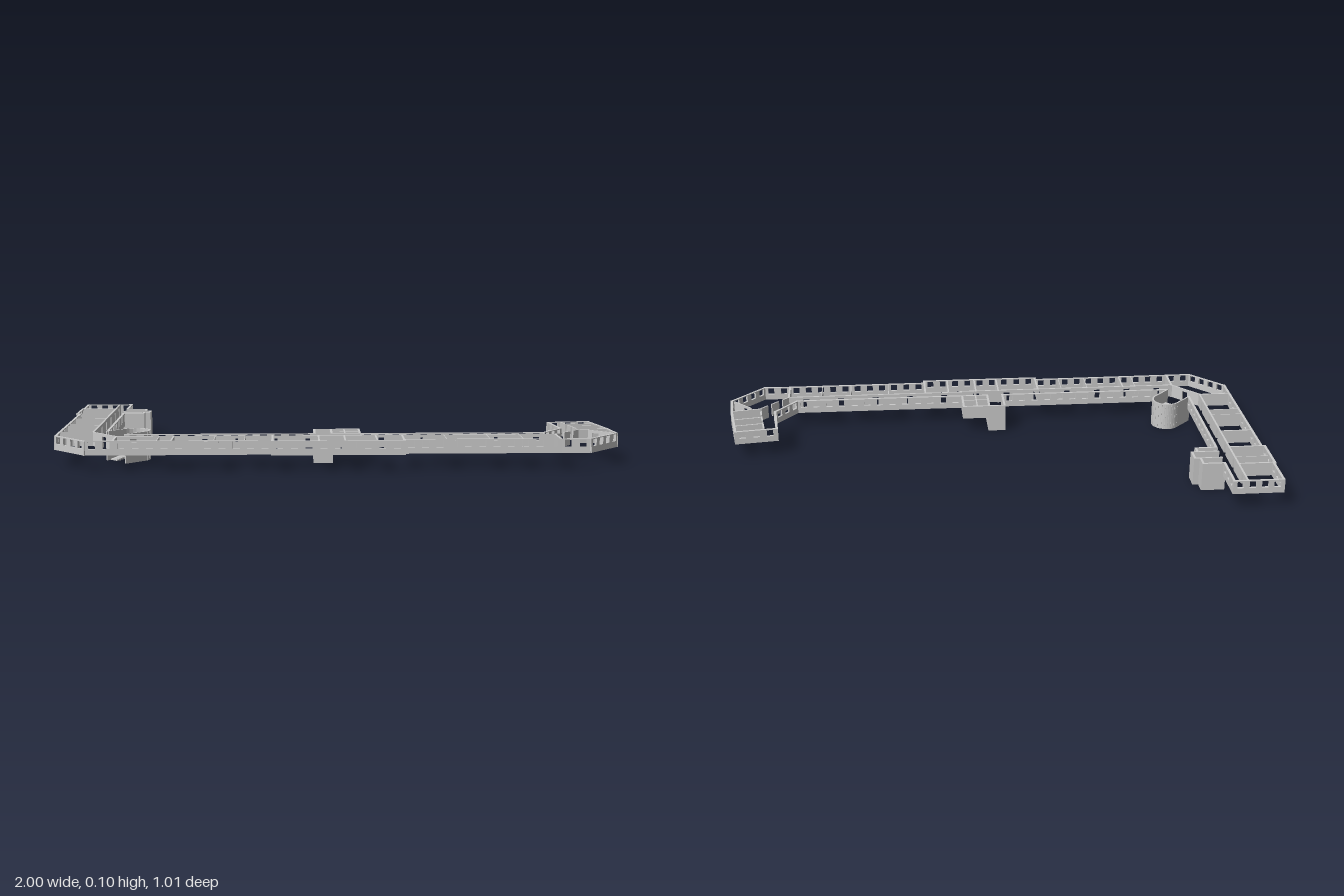
import * as THREE from 'three';

const FLOOR = 0.055, TOP = 0.105;

export function createModel() {
  const model = new THREE.Group();
  const mat = new THREE.MeshStandardMaterial({ color: 0xcccccc, flatShading: true });

  // Upright wall panel from a to b ([x, z]); optional window row and full-width-spaced doors
  function wall(parent, name, a, b, { t = 0.009, y0 = FLOOR, y1 = TOP, windows = false, doors = [] } = {}) {
    const dx = b[0] - a[0], dz = b[1] - a[1], len = Math.hypot(dx, dz), e = t / 2;
    const shape = new THREE.Shape();
    shape.moveTo(-e, y0);
    for (const d of doors) {
      const c = d * len, w = 0.012;
      shape.lineTo(c - w, y0);
      shape.lineTo(c - w, y0 + 0.04);
      shape.lineTo(c + w, y0 + 0.04);
      shape.lineTo(c + w, y0);
    }
    shape.lineTo(len + e, y0);
    shape.lineTo(len + e, y1);
    shape.lineTo(-e, y1);
    if (windows) {
      const n = Math.max(1, Math.round(len / 0.049));
      if (len > 0.04) for (let i = 0; i < n; i++) {
        const c = ((i + 0.5) * len) / n, w = 0.012, hole = new THREE.Path();
        hole.moveTo(c - w, 0.077);
        hole.lineTo(c - w, 0.102);
        hole.lineTo(c + w, 0.102);
        hole.lineTo(c + w, 0.077);
        shape.holes.push(hole);
      }
    }
    const geo = new THREE.ExtrudeGeometry(shape, { depth: t, bevelEnabled: false });
    geo.translate(0, 0, -t / 2);
    const mesh = new THREE.Mesh(geo, mat);
    mesh.name = name;
    mesh.position.set(a[0], 0, a[1]);
    mesh.rotation.y = -Math.atan2(dz, dx);
    parent.add(mesh);
  }

  // Chain of walls along a list of points
  function wallRun(name, pts, opts, parent = model) {
    const group = new THREE.Group();
    group.name = name;
    for (let i = 1; i < pts.length; i++) wall(group, name + 'Panel', pts[i - 1], pts[i], opts);
    parent.add(group);
    return group;
  }

  // Flight of treads following a function s -> { x, z, angle }
  function stairs(name, count, at, width, tread, y0, y1) {
    const group = new THREE.Group();
    group.name = name;
    for (let i = 0; i < count; i++) {
      const p = at((i + 0.5) / count);
      const step = new THREE.Mesh(new THREE.BoxGeometry(tread, 0.005, width), mat);
      step.name = 'tread';
      step.position.set(p.x, y0 + ((y1 - y0) * (i + 1)) / count - 0.0025, p.z);
      step.rotation.y = -p.angle;
      group.add(step);
    }
    model.add(group);
  }

  // Outer facade, all around from the back of the right wing to the left wing end
  const win = { windows: true };
  wallRun('outerFacade', [
    [-0.815, -0.506], [-0.99, -0.506], [-0.99, -0.37], [-0.995, -0.37], [-0.995, -0.228],
    [-0.983, -0.228], [-0.983, 0.355], [-0.865, 0.482], [-0.225, 0.478], [-0.225, 0.497],
    [0.228, 0.497], [0.228, 0.475], [0.77, 0.475], [0.872, 0.478], [0.992, 0.35],
    [0.983, 0.24], [0.953, 0.05], [0.8, 0.07],
  ], win);

  // Courtyard facade
  wallRun('courtyardFacadeRightWing', [[-0.815, -0.506], [-0.815, -0.363]], win);
  wallRun('courtyardFacadeRightWing', [[-0.815, -0.228], [-0.815, 0.25]], win);
  wallRun('courtyardFacadeFront', [[-0.741, 0.33], [-0.08, 0.33]], win);
  wallRun('courtyardFacadeFront', [[0.085, 0.33], [0.735, 0.33], [0.815, 0.23], [0.8, 0.07]], win);

  // Corridor walls with a door per room
  const doors = (n) => ({ t: 0.007, doors: Array.from({ length: n }, (_, i) => (i + 0.5) / n) });
  wallRun('corridorWallRightWing', [[-0.863, -0.506], [-0.863, 0.272]], doors(6));
  wallRun('corridorWallCorner', [[-0.863, 0.272], [-0.77, 0.375]], doors(1));
  wallRun('corridorWallFront', [[-0.77, 0.376], [0.085, 0.376]], doors(7));
  wallRun('corridorWallFront', [[0.085, 0.369], [0.77, 0.369]], doors(5));
  // Left corner lobby: short piers with open gaps
  for (const [a, b] of [[0, 0.22], [0.4, 0.62], [0.8, 1]]) {
    const pt = (s) => [0.77 + 0.1 * s, 0.369 - 0.1 * s];
    wall(model, 'lobbyPier', pt(a), pt(b), { t: 0.006 });
  }
  wall(model, 'lobbyPartition', [0.91, 0.272], [0.98, 0.343], { t: 0.004, doors: [0.3] });
  for (const [a, b] of [[0.075, 0.125], [0.15, 0.185], [0.205, 0.235]]) {
    const x = (z) => 0.848 + (z - 0.07) * 0.14;
    wall(model, 'corridorWallLeftWing', [x(a), a], [x(b), b], { t: 0.006 });
  }

  // Room partitions, [position, thickness]
  for (const [z, t] of [[-0.37, 0.007], [-0.315, 0.003], [-0.228, 0.007], [-0.086, 0.007],
    [0.065, 0.003], [0.115, 0.003], [0.27, 0.007]])
    wall(model, 'partitionRightWing', [-0.983, z], [-0.863, z], { t });
  for (const [x, t] of [[-0.77, 0.008], [-0.62, 0.003], [-0.57, 0.006], [-0.425, 0.003], [-0.32, 0.003],
    [-0.225, 0.007], [-0.065, 0.006], [0.025, 0.006], [0.135, 0.006], [0.228, 0.007],
    [0.375, 0.003], [0.525, 0.003], [0.64, 0.003], [0.77, 0.008]])
    wall(model, 'partitionFront', [x, 0.372], [x, x > -0.22 && x < 0.22 ? 0.497 : 0.477], { t });
  for (const z of [0.12, 0.18, 0.262])
    wall(model, 'partitionLeftWing', [0.855 + (z - 0.12) * 0.14, z], [0.96 + (z - 0.1) * 0.15, z - 0.017], { t: 0.006 });

  // Stepped stair tower on the right wing
  const full = { y0: 0, t: 0.008 };
  wallRun('backStairTower', [
    [-0.815, -0.36], [-0.738, -0.36], [-0.738, -0.313], [-0.717, -0.313],
    [-0.717, -0.261], [-0.738, -0.261], [-0.738, -0.228], [-0.815, -0.228],
  ], full);
  wallRun('backStairTowerWall', [[-0.815, -0.36], [-0.815, -0.228]], { y0: 0, y1: FLOOR, t: 0.008 });
  for (const z of [-0.313, -0.261])
    wall(model, 'backStairTowerPartition', [-0.815, z], [-0.738, z], { y0: 0, t: 0.006 });
  stairs('backStairs', 9, (s) => ({ x: -0.722 - 0.09 * s, z: -0.278, angle: 0 }), 0.033, 0.012, 0.01, FLOOR);

  // Rounded stair tower in the corner: straight sides and a half-round end, turned 45 degrees
  const L = 0.085, R = 0.052;
  const turn = (u, v) => [-0.72 + (u + v) * Math.SQRT1_2, 0.23 + (v - u) * Math.SQRT1_2];
  const curve = [turn(-L, -R)];
  for (let i = 0; i <= 12; i++) {
    const a = -Math.PI / 2 + (Math.PI * i) / 12;
    curve.push(turn(R * Math.cos(a), R * Math.sin(a)));
  }
  curve.push(turn(-L, R));
  wallRun('roundStairTower', curve, { y0: 0, t: 0.006 });
  const r = 0.033, arc = Math.PI * r, straight = 0.07, total = arc + 2 * straight;
  stairs('roundStairs', 22, (s) => {
    const d = s * total;
    let u, v, ang;
    if (d < straight) [u, v, ang] = [d - straight, -r, 0];
    else if (d > straight + arc) [u, v, ang] = [straight + arc - d, r, Math.PI];
    else {
      const a = (d - straight) / r - Math.PI / 2;
      [u, v, ang] = [r * Math.cos(a), r * Math.sin(a), a + Math.PI / 2];
    }
    const [x, z] = turn(u, v);
    return { x, z, angle: ang - Math.PI / 4 };
  }, 0.038, 0.018, 0.003, FLOOR);

  // Middle block: deep stair shaft beside small rooms
  wallRun('middleStairShaft', [[-0.017, 0.33], [-0.017, 0.222], [-0.077, 0.222], [-0.077, 0.33]], full);
  wall(model, 'middleStairShaftFront', [-0.077, 0.33], [-0.017, 0.33], { y0: 0, y1: FLOOR, t: 0.008, doors: [] });
  stairs('middleStairs', 11, (s) => ({ x: -0.047, z: 0.226 + 0.1 * s, angle: Math.PI / 2 }), 0.054, 0.011, 0.004, FLOOR);
  wallRun('middleRooms', [[-0.017, 0.222], [0.083, 0.222], [0.083, 0.33], [-0.017, 0.33]], { t: 0.008 });
  wall(model, 'middleRoomPartition', [0.03, 0.222], [0.03, 0.33], { t: 0.005 });
  wall(model, 'middleRoomPartition', [-0.017, 0.283], [0.083, 0.283], { t: 0.005 });

  return model;
}
